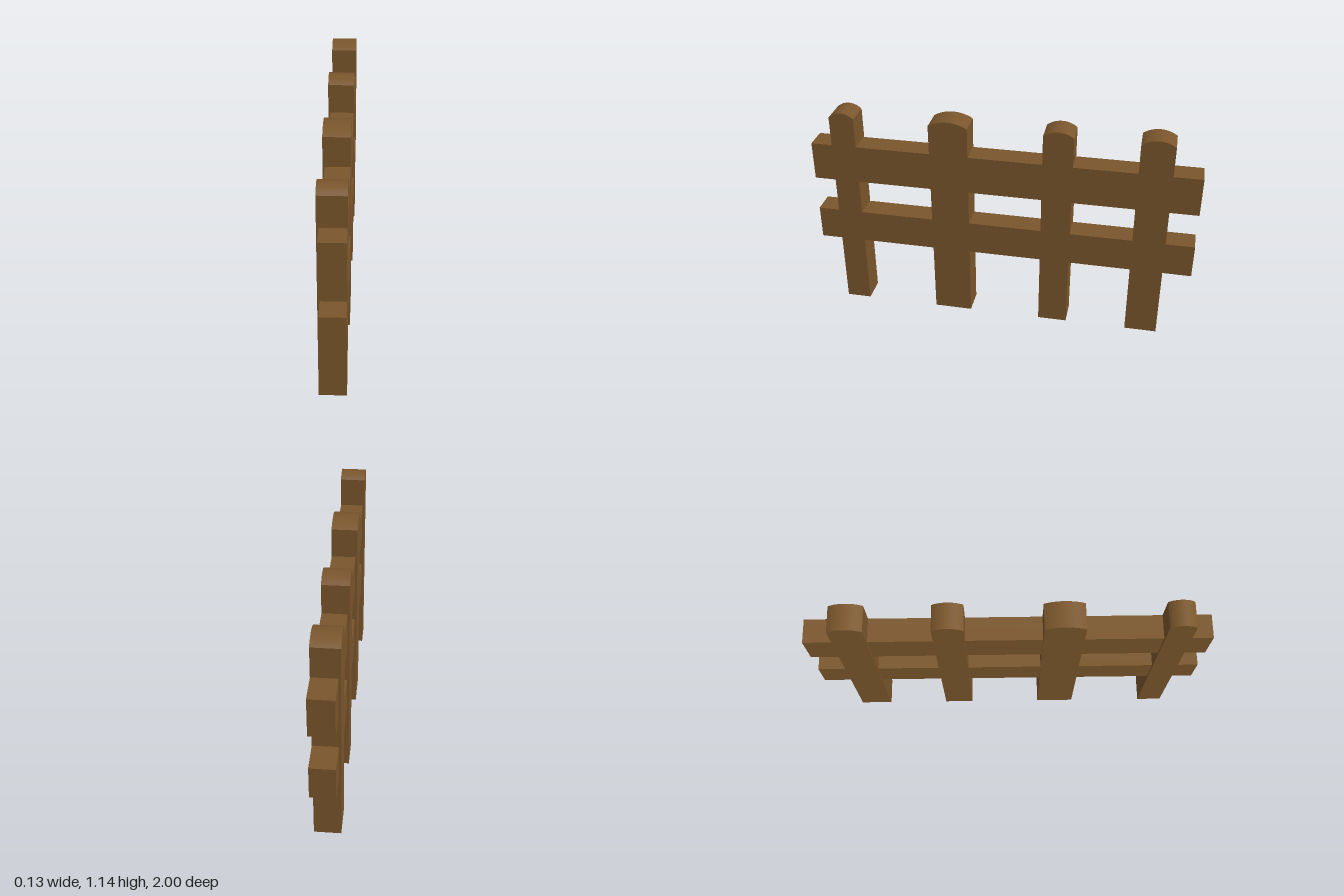
import * as THREE from 'three';

const wood = new THREE.MeshStandardMaterial({ color: 0x7a562c });
const HALF_DEPTH = 0.067; // half thickness of a post along x
const SHOULDER = 1.112;   // where the rounded post top begins
const TOP = 1.14;

// Upright post with a shallow arched top
function createPost(z, width) {
  const h = width / 2;
  const rise = TOP - SHOULDER;
  const radius = (h * h + rise * rise) / (2 * rise);
  const angle = Math.asin(h / radius);

  const outline = new THREE.Shape();
  outline.moveTo(-h, 0);
  outline.lineTo(h, 0);
  outline.lineTo(h, SHOULDER);
  outline.absarc(0, TOP - radius, radius, Math.PI / 2 - angle, Math.PI / 2 + angle, false);
  outline.lineTo(-h, 0);

  const geometry = new THREE.ExtrudeGeometry(outline, {
    depth: HALF_DEPTH * 2, bevelEnabled: false, curveSegments: 16,
  });
  geometry.translate(0, 0, -HALF_DEPTH);
  geometry.rotateY(-Math.PI / 2);
  const post = new THREE.Mesh(geometry, wood);
  post.name = 'post';
  post.position.z = z;
  return post;
}

// Horizontal rail, flush with the posts on +x and recessed on -x
function createRail(name, bottom, top) {
  const xMin = -0.056, xMax = HALF_DEPTH - 0.0005;
  const rail = new THREE.Mesh(new THREE.BoxGeometry(xMax - xMin, top - bottom, 2), wood);
  rail.name = name;
  rail.position.set((xMin + xMax) / 2, (bottom + top) / 2, 0);
  return rail;
}

export function createModel() {
  const fence = new THREE.Group();
  fence.name = 'fence';

  // Posts: centre z and width, unevenly spaced
  for (const [z, width] of [[0.824, 0.13], [0.27, 0.2], [-0.287, 0.153], [-0.769, 0.168]]) {
    fence.add(createPost(z, width));
  }

  fence.add(createRail('lowerRail', 0.387, 0.565));
  fence.add(createRail('upperRail', 0.752, 0.955));
  return fence;
}
